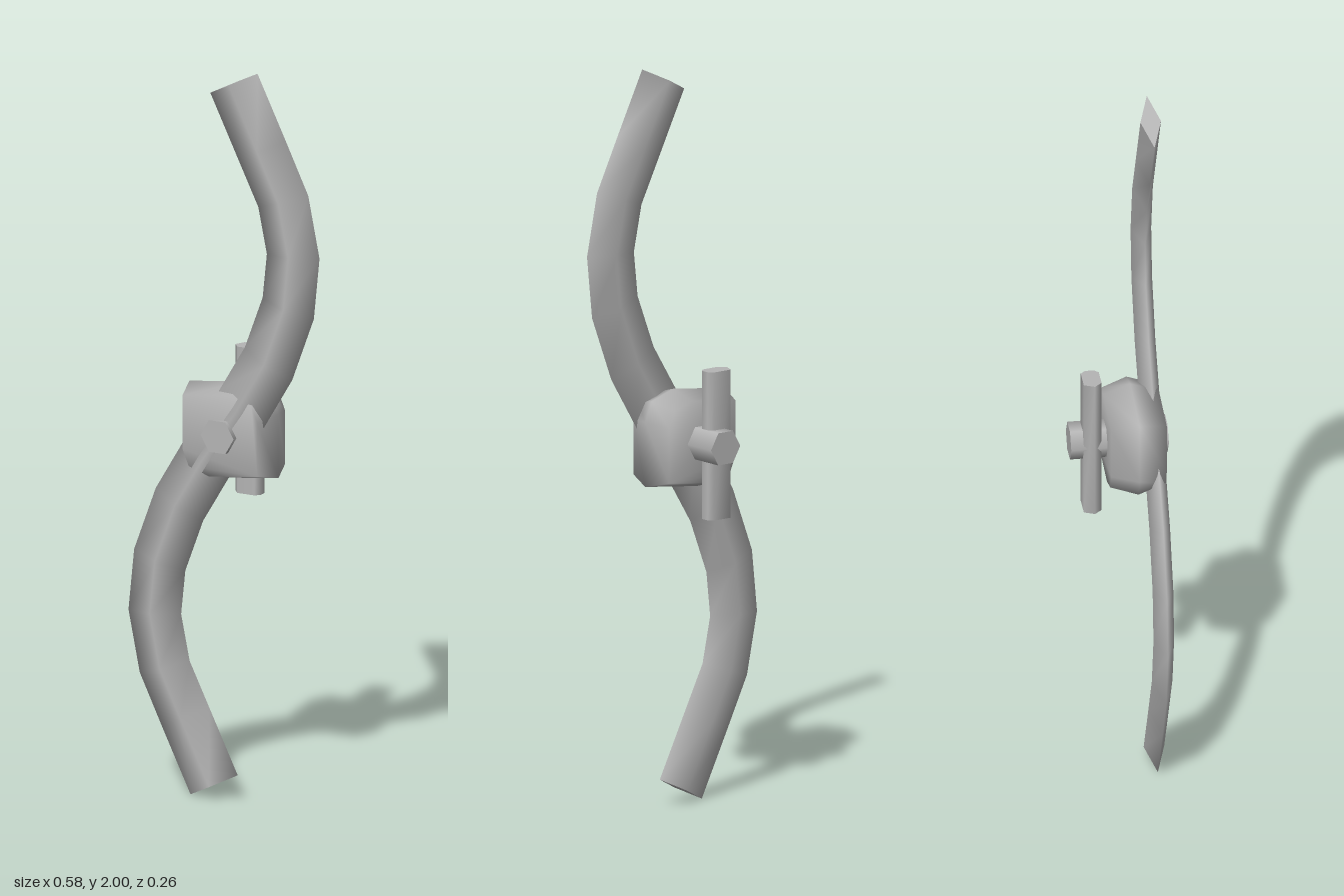
import * as THREE from 'three';

// Skin a list of closed rings (counter-clockwise about the forward direction) and cap both ends.
function loft(rings, smoothCaps = false) {
  const n = rings[0].length, pos = [], idx = [];
  const addRing = (ring) => {
    const start = pos.length / 3;
    ring.forEach((p) => pos.push(...p));
    return start;
  };
  const starts = rings.map(addRing);
  for (let i = 0; i < rings.length - 1; i++) {
    for (let j = 0; j < n; j++) {
      const k = (j + 1) % n, a = starts[i], b = starts[i + 1];
      idx.push(a + j, a + k, b + k, a + j, b + k, b + j);
    }
  }
  const last = rings.length - 1;
  const s = smoothCaps ? starts[0] : addRing(rings[0]);
  const e = smoothCaps ? starts[last] : addRing(rings[last]);
  for (let j = 1; j < n - 1; j++) {
    idx.push(s, s + j + 1, s + j, e, e + j, e + j + 1);
  }
  const g = new THREE.BufferGeometry();
  g.setAttribute('position', new THREE.Float32BufferAttribute(pos, 3));
  g.setIndex(idx);
  g.computeVertexNormals();
  return g;
}

// S-shaped bar with a flat diamond cross-section
function curvedBar() {
  const half = [[0.03, 0.963], [0.116, 0.79], [0.18, 0.66], [0.21, 0.514],
    [0.195, 0.37], [0.135, 0.21], [0.053, 0.075]];
  const path = [...half, [0, 0], ...half.slice().reverse().map(([x, y]) => [-x, -y])];
  const w = 0.08, d = 0.0275, z = 0.093;
  const rings = path.map(([x, y], i) => {
    const a = path[Math.max(i - 1, 0)], b = path[Math.min(i + 1, path.length - 1)];
    const t = new THREE.Vector2(b[0] - a[0], b[1] - a[1]).normalize();
    const nx = t.y * w, ny = -t.x * w;
    return [[x + nx, y + ny, z], [x, y, z - d], [x - nx, y - ny, z], [x, y, z + d]];
  });
  return loft(rings);
}

// Bulging eight-cornered block, widest in its middle
function hubBlock() {
  const half = [[0.135, -0.115], [0.135, 0.06], [0.113, 0.113], [0.04, 0.137]];
  const outline = [...half, ...half.map(([x, y]) => [-x, -y])];
  return loft([[-0.033, 0.84], [0.04, 1], [0.115, 0.84]].map(
    ([z, s]) => outline.map(([x, y]) => [x * s, y * s, z])), true);
}

// Upright pin with a flattened section
function uprightPin() {
  const section = [[-0.057, -0.068], [-0.04, -0.048], [0.012, -0.048], [0.023, -0.06],
    [0.023, -0.083], [0.012, -0.096], [-0.045, -0.096]];
  return loft([-0.2, 0.2].map((y) => section.map(([x, z]) => [x, y, z])));
}

export function createModel() {
  const model = new THREE.Group();
  model.name = 'curvedHandle';
  const grey = new THREE.MeshStandardMaterial({ color: 0xb4b4b4 });
  grey.name = 'grey';

  const add = (name, geometry) => {
    const mesh = new THREE.Mesh(geometry, grey);
    mesh.name = name;
    mesh.position.y = 1;
    model.add(mesh);
  };

  add('curvedBar', curvedBar());
  add('hub', hubBlock());
  add('pin', uprightPin());

  // Hexagonal axle running front to back
  const axle = new THREE.CylinderGeometry(0.05, 0.05, 0.26, 6);
  axle.rotateY(Math.PI / 6 + Math.PI / 3).rotateX(Math.PI / 2);
  add('axle', axle);

  return model;
}
